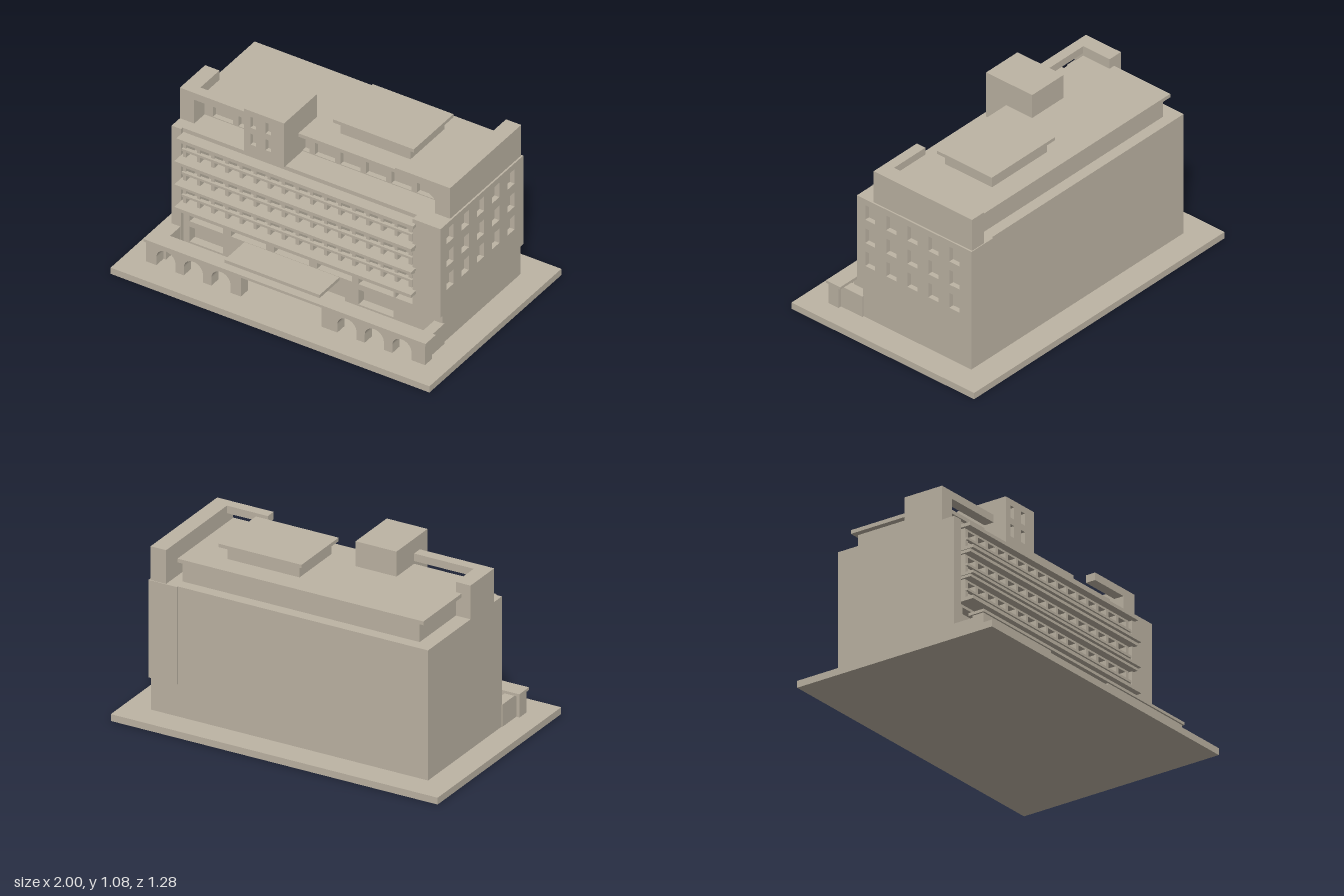
import * as THREE from 'three';

const stone = new THREE.MeshStandardMaterial({ color: 0xbdb4a4 });
stone.name = 'warm stone';

export function createModel() {
  const model = new THREE.Group();
  model.name = 'officeBuilding';

  function add(name, geometry) {
    const mesh = new THREE.Mesh(geometry, stone);
    mesh.name = name;
    model.add(mesh);
    return mesh;
  }

  // Box given by its limits on each axis
  function box(name, x0, x1, y0, y1, z0, z1) {
    const g = new THREE.BoxGeometry(x1 - x0, y1 - y0, z1 - z0);
    g.translate((x0 + x1) / 2, (y0 + y1) / 2, (z0 + z1) / 2);
    return add(name, g);
  }

  function rectPath(x0, x1, y0, y1, Type = THREE.Path) {
    const p = new Type();
    p.moveTo(x0, y0);
    p.lineTo(x1, y0);
    p.lineTo(x1, y1);
    p.lineTo(x0, y1);
    p.closePath();
    return p;
  }

  // Wall in the xy plane with rectangular openings [x0, x1, y0, y1]
  function wallGeometry(x0, x1, y0, y1, depth, openings) {
    const s = rectPath(x0, x1, y0, y1, THREE.Shape);
    for (const o of openings) s.holes.push(rectPath(...o));
    return new THREE.ExtrudeGeometry(s, { depth, bevelEnabled: false });
  }

  // Ground plate and main body
  box('groundPlate', -1, 1, 0, 0.04, -0.64, 0.64);
  box('lowerBody', -0.85, 0.845, 0.04, 0.23, -0.485, 0.21);
  box('mainBody', -0.85, 0.7, 0.23, 0.8, -0.485, 0.21);
  box('leftPier', -0.85, -0.79, 0.04, 0.8, 0.21, 0.28);
  box('roofEdge', -0.79, 0.68, 0.775, 0.8, 0.21, 0.265);

  // Lower front wall: entrance and wide first floor windows
  const lowOpenings = [[-0.28, 0.225, 0.05, 0.175]];
  for (const [a, b] of [[-0.75, -0.54], [-0.49, -0.27], [-0.22, 0], [0.05, 0.27], [0.31, 0.53], [0.54, 0.675]])
    lowOpenings.push([a, b, 0.21, 0.31]);
  for (const [a, b] of [[-0.75, -0.54], [0.31, 0.53]]) lowOpenings.push([a, b, 0.08, 0.175]);
  add('lowerFrontWall', wallGeometry(-0.79, 0.68, 0.04, 0.325, 0.05, lowOpenings)).position.z = 0.21;
  box('rightFrontBase', 0.68, 0.845, 0.04, 0.23, 0.21, 0.275);

  // Balcony floors: stepped ledges, fins and a middle rail
  const bays = 16, finStart = -0.76, pitch = 0.0885;
  const floors = [[0.345, 0.46], [0.49, 0.605], [0.64, 0.755]];
  box('balconyLedge', -0.785, 0.7, 0.325, 0.345, 0.21, 0.355);
  box('balconyLedge', -0.785, 0.7, 0.475, 0.49, 0.21, 0.355);
  box('balconyLedge', -0.785, 0.7, 0.622, 0.64, 0.21, 0.355);
  box('ledgeStep', -0.78, 0.695, 0.46, 0.475, 0.21, 0.335);
  box('ledgeStep', -0.78, 0.695, 0.605, 0.622, 0.21, 0.335);
  box('topLedge', -0.785, 0.7, 0.755, 0.775, 0.21, 0.335);
  for (const [y0, y1] of floors) {
    const mid = (y0 + y1) / 2 - 0.006;
    box('balconyRail', -0.77, 0.675, mid - 0.007, mid + 0.007, 0.285, 0.308);
    box('upperBeam', -0.77, 0.675, y1 - 0.012, y1, 0.21, 0.29);
    for (let i = 0; i <= bays; i++) {
      const x = finStart + i * pitch;
      box('balconyFin', x - 0.01, x + 0.01, y0, y1 - 0.012, 0.21, 0.295);
    }
  }

  // Side wing with three rows of recessed windows
  box('wingCore', 0.68, 0.825, 0.23, 0.8, -0.495, 0.308);
  const sideOpenings = [];
  for (const y of [0.375, 0.522, 0.67])
    for (let i = 0; i < 5; i++) {
      const u = -0.25 + i * 0.1475;
      sideOpenings.push([u, u + 0.07, y, y + 0.093]);
    }
  const sideWall = wallGeometry(-0.308, 0.495, 0.23, 0.8, 0.03, sideOpenings);
  sideWall.rotateY(Math.PI / 2);
  add('wingWindowWall', sideWall).position.x = 0.825;

  // Raised roof walls with beams reaching over the terrace
  box('rightRoofWall', 0.75, 0.845, 0.8, 0.997, -0.49, 0.2);
  box('rightRoofBeam', 0.5, 0.75, 0.953, 0.997, 0.14, 0.2);
  box('leftRoofWall', -0.85, -0.76, 0.8, 0.997, -0.045, 0.2);
  box('leftRoofBeam', -0.76, -0.395, 0.953, 0.997, 0.14, 0.2);

  // Penthouse with a row of windows under a thin roof
  box('penthouse', -0.76, 0.69, 0.8, 0.915, -0.42, 0.07);
  const topOpenings = [];
  for (let i = 0; i < 9; i++) {
    const x = -0.707 + i * 0.16;
    topOpenings.push([x, x + 0.125, 0.805, 0.89]);
  }
  add('penthouseWindowWall', wallGeometry(-0.76, 0.69, 0.8, 0.915, 0.03, topOpenings)).position.z = 0.07;
  box('penthouseRoof', -0.795, 0.71, 0.915, 0.937, -0.44, 0.14);

  // Roof plant room
  box('plantRoom', 0.04, 0.48, 0.937, 1.01, -0.31, 0.02);
  box('plantRoomRoof', 0.01, 0.517, 1.01, 1.03, -0.34, 0.045);

  // Stair tower with four narrow windows
  box('towerCore', -0.395, -0.145, 0.8, 1.083, -0.042, 0.255);
  const towerOpenings = [];
  for (const x of [-0.355, -0.26])
    for (const y of [0.867, 0.975]) towerOpenings.push([x, x + 0.034, y, y + 0.07]);
  add('towerWindowWall', wallGeometry(-0.395, -0.145, 0.8, 1.083, 0.025, towerOpenings)).position.z = 0.255;

  // Arcade: two walls of three arches under one long slab
  function arcade(x0, x1, centres) {
    const s = new THREE.Shape();
    const r = 0.06, base = 0.04, spring = 0.09;
    s.moveTo(x0, base);
    for (const c of centres) {
      s.lineTo(c - r, base);
      s.lineTo(c - r, spring);
      s.absarc(c, spring, r, Math.PI, 0, true);
      s.lineTo(c + r, base);
    }
    s.lineTo(x1, base);
    s.lineTo(x1, 0.17);
    s.lineTo(x0, 0.17);
    s.closePath();
    const g = new THREE.ExtrudeGeometry(s, { depth: 0.07, bevelEnabled: false, curveSegments: 16 });
    add('arcadeWall', g).position.z = 0.42;
  }
  arcade(-0.875, -0.28, [-0.75, -0.578, -0.405]);
  arcade(0.225, 0.875, [0.385, 0.557, 0.73]);
  box('arcadeSlab', -0.885, 0.885, 0.17, 0.186, 0.4, 0.5);
  box('arcadeSideWall', -0.855, -0.795, 0.04, 0.17, 0.275, 0.42);
  box('arcadeSideWall', 0.795, 0.855, 0.04, 0.17, 0.27, 0.42);

  // Entrance canopy
  box('entranceCanopy', -0.405, 0.19, 0.188, 0.208, 0.255, 0.453);

  return model;
}
